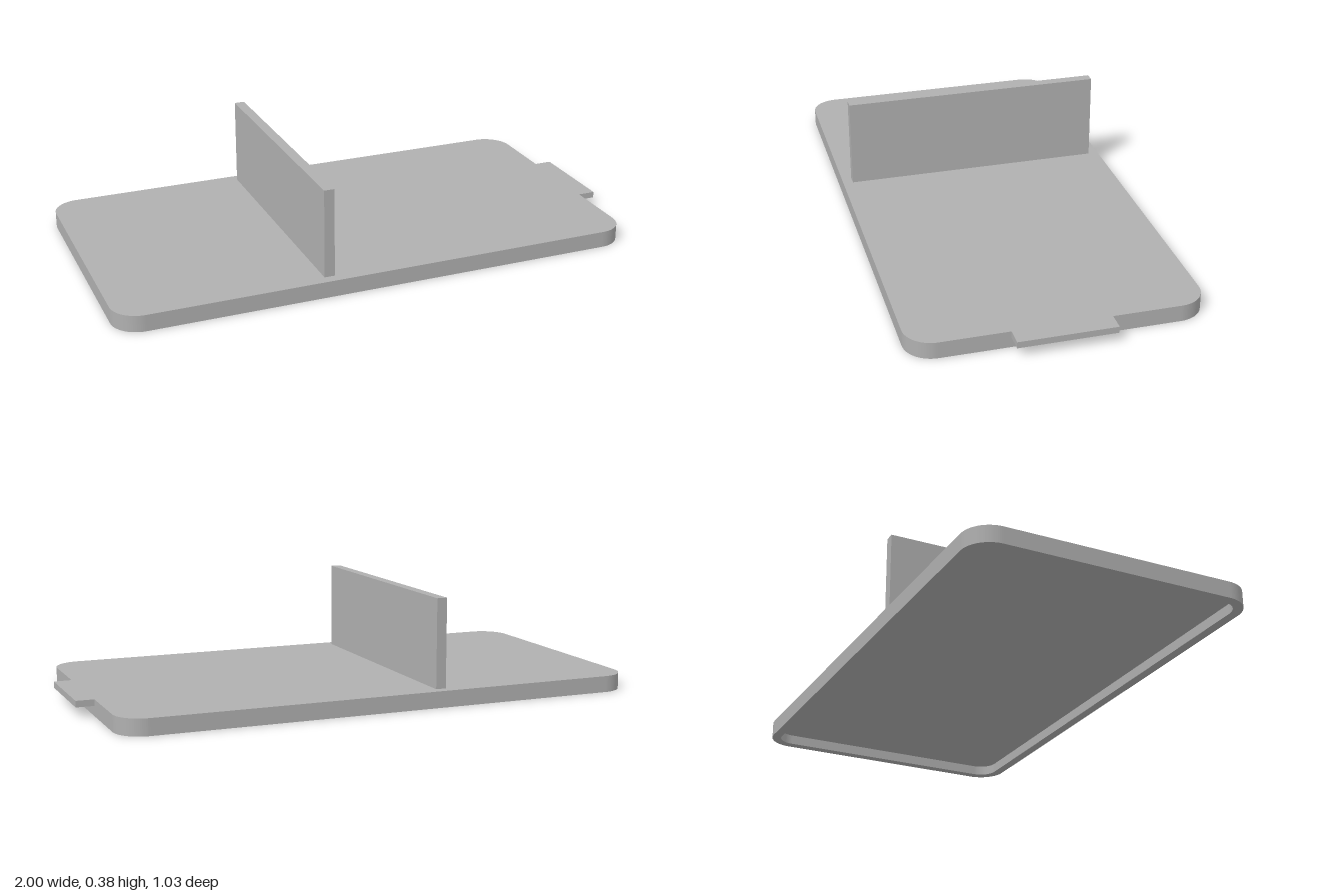
import * as THREE from 'three';

const X0 = -1, X1 = 0.935, HALF_Z = 0.515, TOP = 0.06, RECESS = 0.036, RIM = 0.035, RADIUS = 0.1;

// Rounded rectangle of the base outline, inset by d
function outline(d, Type = THREE.Shape) {
  const r = RADIUS - d, l = X0 + d, e = X1 - d, h = HALF_Z - d;
  const s = new Type();
  s.moveTo(l + r, -h);
  s.lineTo(e - r, -h);
  s.absarc(e - r, -h + r, r, -Math.PI / 2, 0);
  s.lineTo(e, h - r);
  s.absarc(e - r, h - r, r, 0, Math.PI / 2);
  s.lineTo(l + r, h);
  s.absarc(l + r, h - r, r, Math.PI / 2, Math.PI);
  s.lineTo(l, -h + r);
  s.absarc(l + r, -h + r, r, Math.PI, Math.PI * 1.5);
  return s;
}

// Extrude an outline upward from y0 to y1
function slab(shape, y0, y1) {
  const g = new THREE.ExtrudeGeometry(shape, { depth: y1 - y0, bevelEnabled: false, curveSegments: 12 });
  g.rotateX(-Math.PI / 2);
  g.translate(0, y0, 0);
  return g;
}

function box(x0, x1, y0, y1, z0, z1) {
  const g = new THREE.BoxGeometry(x1 - x0, y1 - y0, z1 - z0);
  g.translate((x0 + x1) / 2, (y0 + y1) / 2, (z0 + z1) / 2);
  return g;
}

export function createModel() {
  const group = new THREE.Group();
  group.name = 'lid';
  const grey = new THREE.MeshStandardMaterial({ color: 0xb0b0b0 });
  grey.name = 'grey';
  const add = (name, geometry) => {
    const mesh = new THREE.Mesh(geometry, grey);
    mesh.name = name;
    group.add(mesh);
  };

  // Top plate, and the rim around the recess beneath it
  add('plate', slab(outline(0), RECESS, TOP));
  const ring = outline(0);
  ring.holes.push(outline(RIM, THREE.Path));
  add('rim', slab(ring, 0, RECESS));

  // Upright wall across the plate
  add('uprightWall', box(-0.257, -0.219, TOP, 0.385, -0.478, 0.478));

  // Pull tab at the end
  add('tab', box(X1, 1, 0.037, TOP, -0.173, 0.173));
  return group;
}
